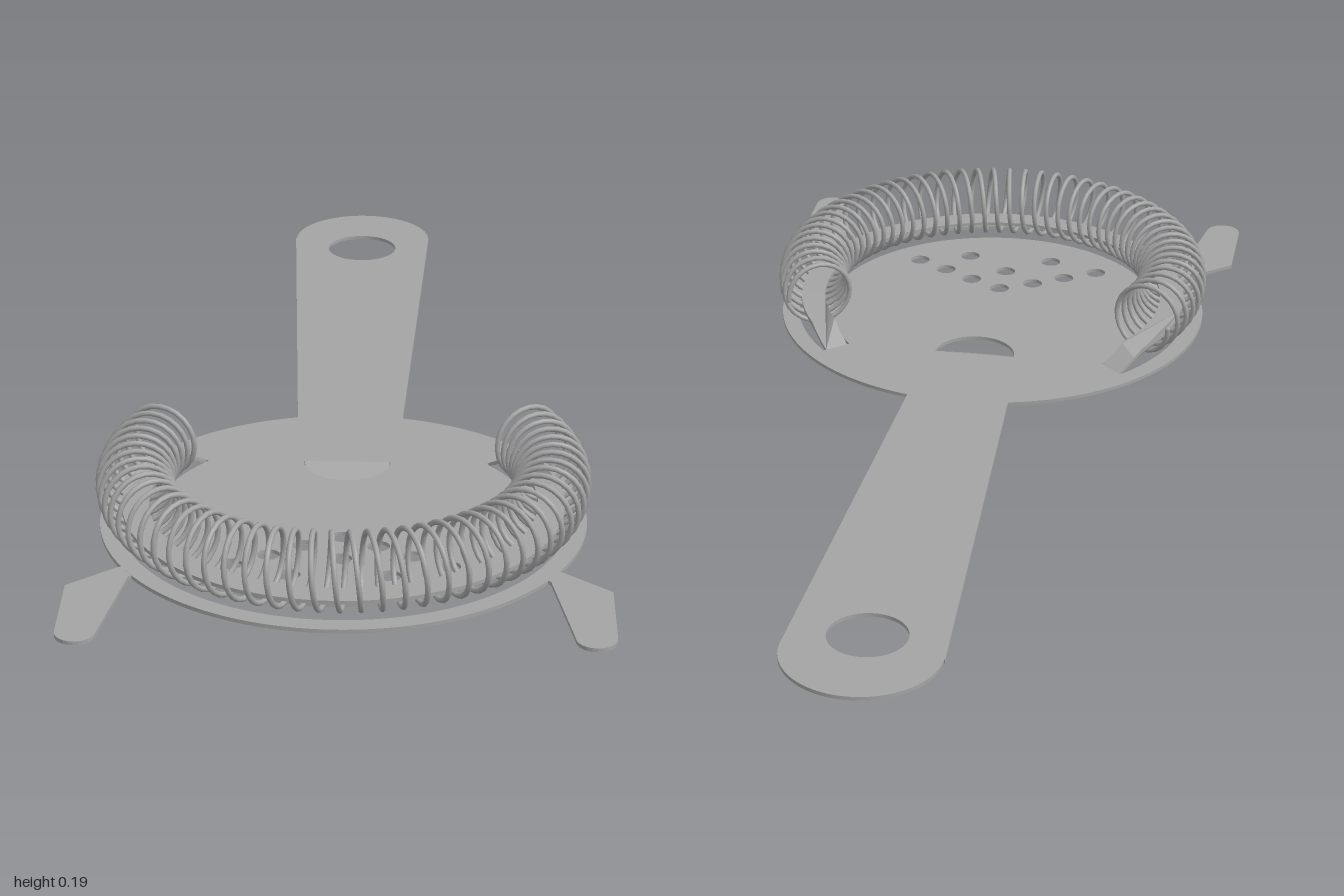
import * as THREE from 'three';

const CZ = 0.513;          // centre of the round head along z
const TOP = 0.041, THICK = 0.007;
const rad = THREE.MathUtils.degToRad;

// Flat sheet drawn in (x, z), extruded downward from y = 0
function sheet(shape, curveSegments = 24) {
  const geo = new THREE.ExtrudeGeometry(shape, { depth: THICK, bevelEnabled: false, curveSegments });
  return geo.rotateX(Math.PI / 2);
}

function circleHole(x, z, r) {
  return new THREE.Path().absarc(x, z, r, 0, Math.PI * 2, true);
}

// Closed arc band around the head centre
function arcBand(PathType, r0, r1, a0, a1) {
  const p = new PathType();
  p.absarc(0, CZ, r1, a0, a1, false);
  p.absarc(0, CZ, r0, a1, a0, true);
  p.closePath();
  return p;
}

// Spring bent around the head
class CoilCurve extends THREE.Curve {
  constructor(turns, a0, a1) {
    super();
    Object.assign(this, { turns, a0, a1, arcLengthDivisions: 3000 });
  }
  getPoint(t, target = new THREE.Vector3()) {
    const a = this.a0 + (this.a1 - this.a0) * t;
    const w = t * this.turns * Math.PI * 2;
    const r = 0.369 + 0.066 * Math.cos(w);
    return target.set(r * Math.cos(a), 0.117 + 0.066 * Math.sin(w), CZ + r * Math.sin(a));
  }
}

export function createModel() {
  const group = new THREE.Group();
  const steel = new THREE.MeshStandardMaterial({ color: 0xa4a4a4 });
  steel.name = 'brushed steel';
  const add = (name, geo, y = 0, z = 0) => {
    const mesh = new THREE.Mesh(geo, steel);
    mesh.name = name;
    mesh.position.set(0, y, z);
    group.add(mesh);
    return mesh;
  };

  // Head and handle outline
  const R = 0.434, neck = Math.asin(0.1 / R);
  const plate = new THREE.Shape();
  plate.absarc(0, CZ, R, -Math.PI / 2 + neck, Math.PI * 1.5 - neck, false);
  plate.lineTo(-0.145, -0.86);
  plate.absarc(0, -0.857, 0.143, Math.PI, Math.PI * 2, false);
  plate.closePath();

  // Hanging hole, drain holes, tongue window and spring slot
  plate.holes.push(circleHole(0, -0.803, 0.072));
  const drains = [[0, 0.6], [0.065, 0.635], [0.126, 0.673], [0.189, 0.71], [0, 0.685], [0.087, 0.748]];
  for (const [x, z] of drains) {
    for (const s of x ? [1, -1] : [1]) plate.holes.push(circleHole(s * x, z, 0.02));
  }
  const tongueZ = 0.287;
  const windowHole = new THREE.Path().absarc(0, tongueZ, 0.08, 0, Math.PI, false);
  windowHole.closePath();
  plate.holes.push(windowHole);
  const s0 = rad(-41), s1 = rad(221);
  plate.holes.push(arcBand(THREE.Path, 0.34, 0.4, s0, s1));
  add('headAndHandle', sheet(plate, 72), TOP);

  // Resting prongs on both sides
  for (const s of [1, -1]) {
    const prong = new THREE.Shape();
    prong.moveTo(s * 0.37, 0.722);
    prong.lineTo(s * 0.385, 0.728);
    prong.lineTo(s * 0.468, 0.798);
    prong.lineTo(s * 0.468, 0.965);
    for (let i = 1; i <= 12; i++) {
      const a = Math.PI * i / 12;
      prong.lineTo(s * (0.433 + 0.035 * Math.cos(a)), 0.965 + 0.035 * Math.sin(a));
    }
    prong.lineTo(s * 0.363, 0.762);
    prong.lineTo(s * 0.35, 0.755);
    prong.closePath();
    add(s > 0 ? 'leftProng' : 'rightProng', sheet(prong), TOP - 0.0002);
  }

  // Half-round tongue pressed down out of the window
  const tongueShape = new THREE.Shape().absarc(0, 0, 0.078, 0, Math.PI, false);
  tongueShape.closePath();
  add('tongue', sheet(tongueShape), TOP, tongueZ).rotation.x = rad(25.5);

  // Strip cut from the slot, ramping up at both ends to carry the spring
  const strip = sheet(arcBand(THREE.Shape, 0.346, 0.394, s0, s1), 131);
  const pos = strip.attributes.position;
  for (let i = 0; i < pos.count; i++) {
    let a = Math.atan2(pos.getZ(i) - CZ, pos.getX(i));
    if (a < -Math.PI / 2) a += Math.PI * 2;
    const fromEnd = Math.min(a - s0, s1 - a);
    pos.setY(i, pos.getY(i) + 0.033 * THREE.MathUtils.clamp(fromEnd / rad(10), 0, 1));
  }
  strip.computeVertexNormals();
  add('springStrip', strip, TOP);

  // Coil spring with rounded wire ends
  const coil = new CoilCurve(46, rad(-27.5), rad(207.5));
  add('coilSpring', new THREE.TubeGeometry(coil, 46 * 24, 0.005, 8, false));
  for (const t of [0, 1]) {
    add('wireEnd', new THREE.SphereGeometry(0.005, 8, 6)).position.copy(coil.getPoint(t));
  }
  return group;
}
